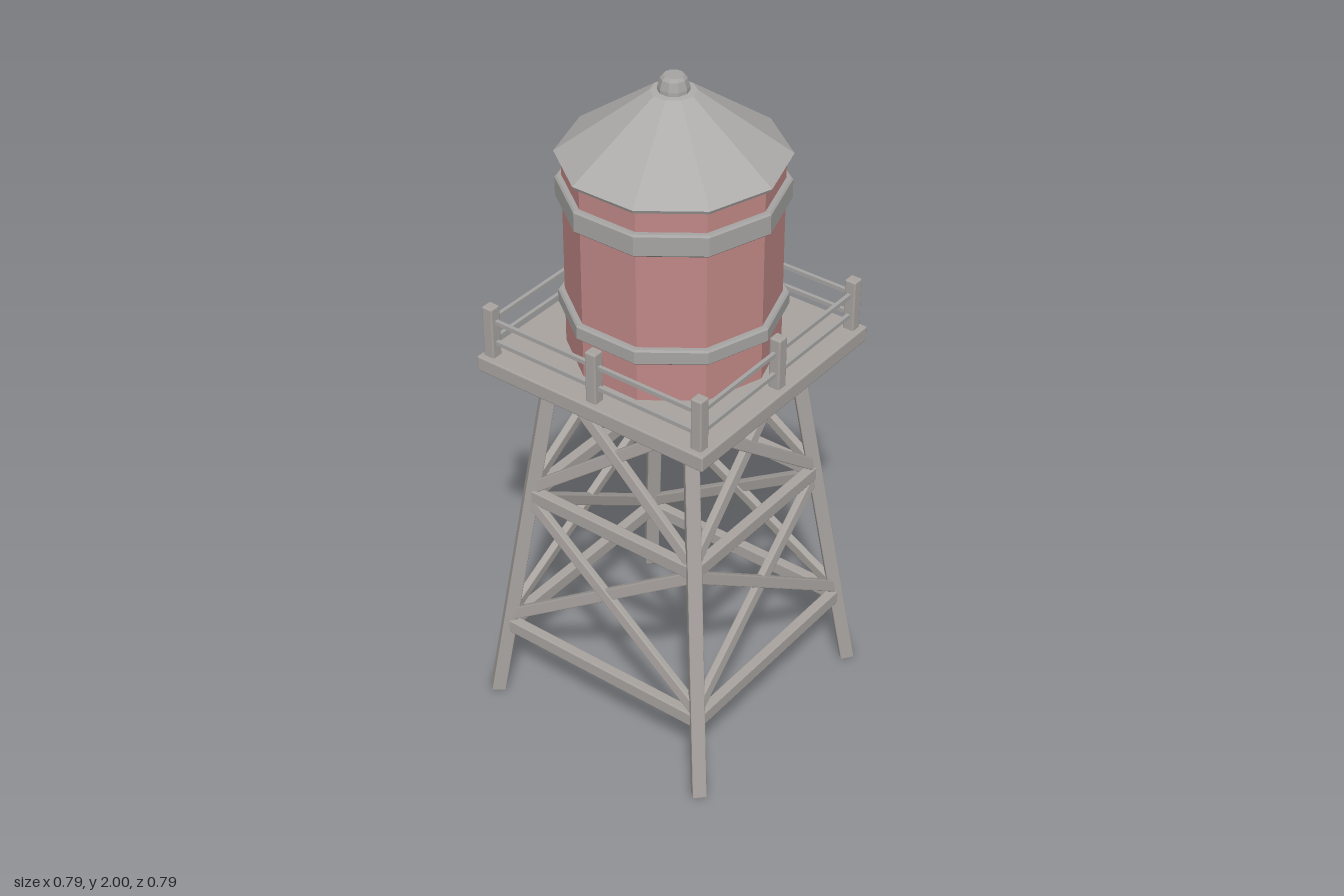
import * as THREE from 'three';
import { RoundedBoxGeometry } from 'three/addons/geometries/RoundedBoxGeometry.js';

const paint = (name, color) => {
  const m = new THREE.MeshStandardMaterial({ color, flatShading: true });
  m.name = name;
  return m;
};

export function createModel() {
  const model = new THREE.Group();
  model.name = 'waterTower';
  const timber = paint('weathered timber', 0xa8a39f);
  const steel = paint('grey steel', 0xa5a4a2);
  const roofing = paint('light roof grey', 0xaeacaa);
  const brick = paint('faded red', 0xbf8886);

  const add = (parent, name, geometry, material) => {
    const mesh = new THREE.Mesh(geometry, material);
    mesh.name = name;
    parent.add(mesh);
    return mesh;
  };
  const group = (name) => {
    const g = new THREE.Group();
    g.name = name;
    model.add(g);
    return g;
  };
  const V = (x, y, z) => new THREE.Vector3(x, y, z);

  // Box with narrow chamfered edges
  const chamferBox = (w, h, d, r = 0.004) => new RoundedBoxGeometry(w, h, d, 1, r);

  // Beam from a to b; its depth axis is kept as close as possible to "facing"
  const beam = (parent, name, a, b, width, depth, facing, material) => {
    const along = b.clone().sub(a);
    const length = along.length();
    along.normalize();
    const side = along.clone().cross(facing).normalize();
    const out = side.clone().cross(along);
    const mesh = add(parent, name, chamferBox(width, length, depth, 0.003), material);
    mesh.quaternion.setFromRotationMatrix(new THREE.Matrix4().makeBasis(side, along, out));
    mesh.position.copy(a).add(b).multiplyScalar(0.5);
    return mesh;
  };

  // Ten-sided turned part with a corner on the x axis; profile runs bottom to top
  const turned = (parent, name, profile, material, sides = 10) =>
    add(parent, name, new THREE.LatheGeometry(
      profile.map(([r, y]) => new THREE.Vector2(r, y)), sides, Math.PI / 2), material);

  // Leg centre offset from the axis at height y
  const spread = (y) => 0.371 - 0.139 * (y / 1.15);

  // Splayed legs, turned to face the diagonals
  const frame = group('supportFrame');
  for (const sx of [-1, 1]) for (const sz of [-1, 1]) {
    const at = (y) => V(sx * spread(y), y, sz * spread(y));
    beam(frame, 'leg', at(0.004), at(1.16), 0.04, 0.04, V(sx, 0, sz), timber);
  }

  // Girts and cross braces, repeated on the four sides
  for (let i = 0; i < 4; i++) {
    const side = new THREE.Group();
    side.name = 'bracedSide';
    side.rotation.y = i * Math.PI / 2;
    frame.add(side);
    const out = V(0, 0.12, 1);
    const at = (s, y, shift = 0) => V(s * spread(y), y, spread(y) + shift);
    for (const y of [0.25, 0.715]) {
      beam(side, 'girt', at(-1, y), at(1, y), 0.042, 0.03, V(0, 0, 1), timber);
    }
    for (const [low, high] of [[0.28, 0.7], [0.735, 1.135]]) {
      for (const s of [-1, 1]) {
        beam(side, 'crossBrace', at(s, low, s * 0.002), at(-s, high, s * 0.002),
          0.034, 0.022, out, timber);
      }
    }
  }

  // Platform
  add(model, 'platform', chamferBox(0.752, 0.046, 0.752), timber).position.y = 1.17;

  // Railing around the platform
  const railing = group('railing');
  railing.position.set(-0.003, 0, -0.003);
  const R = 0.345;
  for (const x of [-R, 0.004, R]) for (const z of [-R, 0.004, R]) {
    if (x === 0.004 && z === 0.004) continue;
    add(railing, 'railPost', chamferBox(0.034, 0.16, 0.034), timber).position.set(x, 1.267, z);
  }
  for (const y of [1.237, 1.302]) for (const s of [-1, 1]) {
    const length = 2 * R;
    add(railing, 'rail', new THREE.BoxGeometry(length, 0.012, 0.011), steel)
      .position.set(0, y, s * R);
    add(railing, 'rail', new THREE.BoxGeometry(0.011, 0.012, length), steel)
      .position.set(s * R, y, 0);
  }

  // Tank and its hoops
  const tank = group('tank');
  turned(tank, 'tankWall', [[0, 1.19], [0.29, 1.19], [0.29, 1.775], [0, 1.775]], brick);
  for (const [low, high] of [[1.315, 1.36], [1.642, 1.706]]) {
    turned(tank, 'hoop', [[0.285, low], [0.303, low], [0.308, low + 0.005],
      [0.308, high - 0.005], [0.303, high], [0.285, high]], steel);
  }

  // Roof and its cap
  turned(tank, 'roof', [[0, 1.768], [0.304, 1.768], [0.309, 1.778],
    [0.061, 1.957], [0, 1.961]], roofing);
  turned(tank, 'roofCap', [[0.043, 1.95], [0.042, 1.968], [0.035, 1.992],
    [0.027, 2], [0, 2]], steel);
  return model;
}
